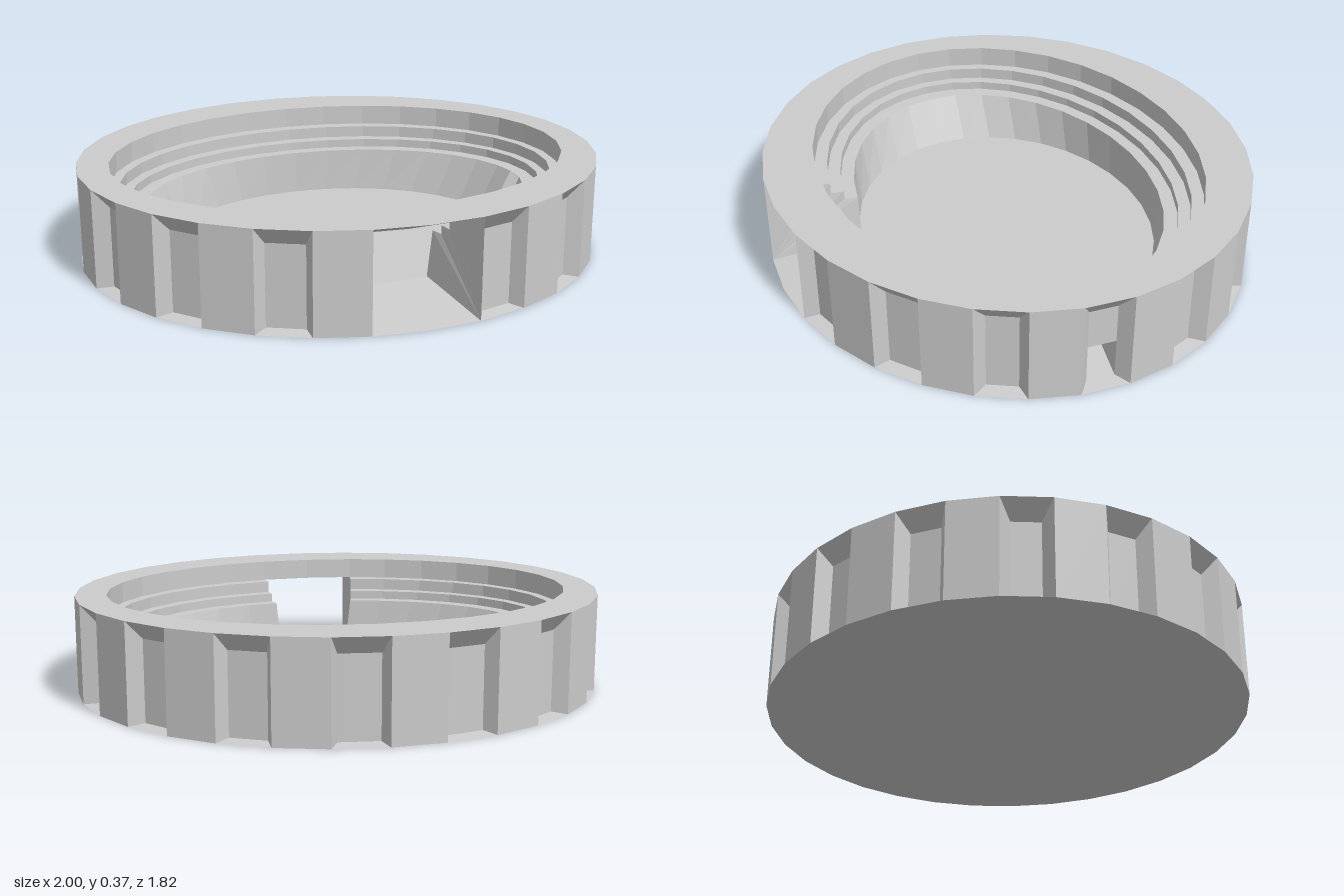
import * as THREE from 'three';

const N = 32, H = 0.37, DOOR = [31, 0], SIDE = 7;

// Builds one flat-shaded mesh from a list of polygons, each fanned from its first corner.
function mesh(name, polys, side = THREE.FrontSide) {
  const pos = [];
  for (const p of polys)
    for (let i = 1; i < p.length - 1; i++)
      for (const v of [p[0], p[i], p[i + 1]]) pos.push(v.x, v.y, v.z);
  const g = new THREE.BufferGeometry();
  g.setAttribute('position', new THREE.Float32BufferAttribute(pos, 3));
  g.computeVertexNormals();
  const m = new THREE.Mesh(g, new THREE.MeshStandardMaterial({ color: 0xcccccc, flatShading: true, side }));
  m.name = name;
  return m;
}

// Oval ring of corners; k = 0 is the front, growing towards +x.
function ring(rx, rz, y, angles = {}) {
  return Array.from({ length: N }, (_, k) => {
    const a = angles[k] ?? (k * 2 * Math.PI) / N;
    return new THREE.Vector3(rx * Math.sin(a), y, rz * Math.cos(a));
  });
}
const next = (k) => (k + 1) % N;
// Face between two rings, seen from above or from the arena.
const span = (hi, lo, k) => [hi[k], hi[next(k)], lo[next(k)], lo[k]];

export function createModel() {
  const group = new THREE.Group();
  const ks = [...Array(N).keys()];
  const isDoor = (k) => DOOR.includes(k);

  // Rings of the inner bowl, from the floor up to the rim
  const da = Math.asin(0.215);
  const door = { 1: da, 31: -da };
  const wall = { ...door, 7: Math.acos(0.125), 8: Math.acos(-0.036) };
  const bowl = [
    ring(0.663, 0.56, 0.04, wall), ring(0.75, 0.56, 0.212, wall),
    ring(0.807, 0.61, 0.212, door), ring(0.807, 0.61, 0.245, door),
    ring(0.845, 0.66, 0.245, door), ring(0.845, 0.66, 0.29, door),
    ring(0.882, 0.711, 0.29, door), ring(0.882, 0.711, H, door),
  ];
  const base = ring(1, 0.91, 0), top = ring(1, 0.91, H);

  group.add(mesh('underside', [[...base].reverse()]));
  group.add(mesh('arenaFloor', [bowl[0]]));
  group.add(mesh('topRim', ks.map((k) => span(top, bowl[7], k))));

  // Arena wall and terraces, open at the gate and the side passage
  const terraces = [];
  for (let i = 0; i < 7; i++)
    for (const k of ks)
      if (i === 6 || !(isDoor(k) || (i === 0 && k === SIDE))) terraces.push(span(bowl[i + 1], bowl[i], k));
  group.add(mesh('terraces', terraces));

  // Outer wall: plain piers alternate with tapered niches
  const piers = [], niches = [];
  let lowerOpening;
  for (const k of ks) {
    if (isDoor(k)) continue;
    const outer = [base[k], base[next(k)], top[next(k)], top[k]];
    if (k % 2 === 0) { piers.push(outer); continue; }
    const [a, b] = outer;
    const mid = a.clone().add(b).multiplyScalar(0.5);
    const along = b.clone().sub(a);
    const inward = new THREE.Vector3(along.z, 0, -along.x).normalize().multiplyScalar(0.052);
    const ratio = 0.75 - 0.17 * Math.sin(((k + 0.5) * 2 * Math.PI) / N) ** 2;
    const at = (s, y) => mid.clone().addScaledVector(along, (s * ratio) / 2).add(inward).setY(y);
    const inner = [at(-1, 0.007), at(1, 0.007), at(1, 0.305), at(-1, 0.305)];
    for (let i = 0; i < 4; i++) {
      const j = (i + 1) % 4;
      niches.push([outer[i], outer[j], inner[j], inner[i]]);
    }
    if (k === SIDE) {
      lowerOpening = [inner[0], inner[1], at(1, 0.155), at(-1, 0.155)];
      niches.push([lowerOpening[3], lowerOpening[2], inner[2], inner[3]]);
    } else niches.push(inner);
  }
  group.add(mesh('piers', piers));
  group.add(mesh('niches', niches));

  // Side passage from its niche to the arena
  const exit = [bowl[0][SIDE], bowl[0][SIDE + 1], bowl[1][SIDE + 1], bowl[1][SIDE]];
  group.add(mesh('sidePassage', lowerOpening.map((p, i) => {
    const j = (i + 1) % 4;
    return [p, lowerOpening[j], exit[j], exit[i]];
  }), THREE.DoubleSide));

  // Front gate: ramp, sloping lintel and stepped side walls
  const gate = [];
  for (const k of DOOR) {
    gate.push(span(base, bowl[0], k));
    gate.push(span(top, bowl[6], k).reverse());
  }
  for (const k of [1, 31]) {
    const side = [base[k], top[k]];
    for (let i = 6; i >= 0; i--) side.push(bowl[i][k]);
    gate.push(k === 1 ? side.reverse().slice(-1).concat(side.slice(0, -1)) : side);
  }
  group.add(mesh('frontGate', gate, THREE.DoubleSide));

  return group;
}
